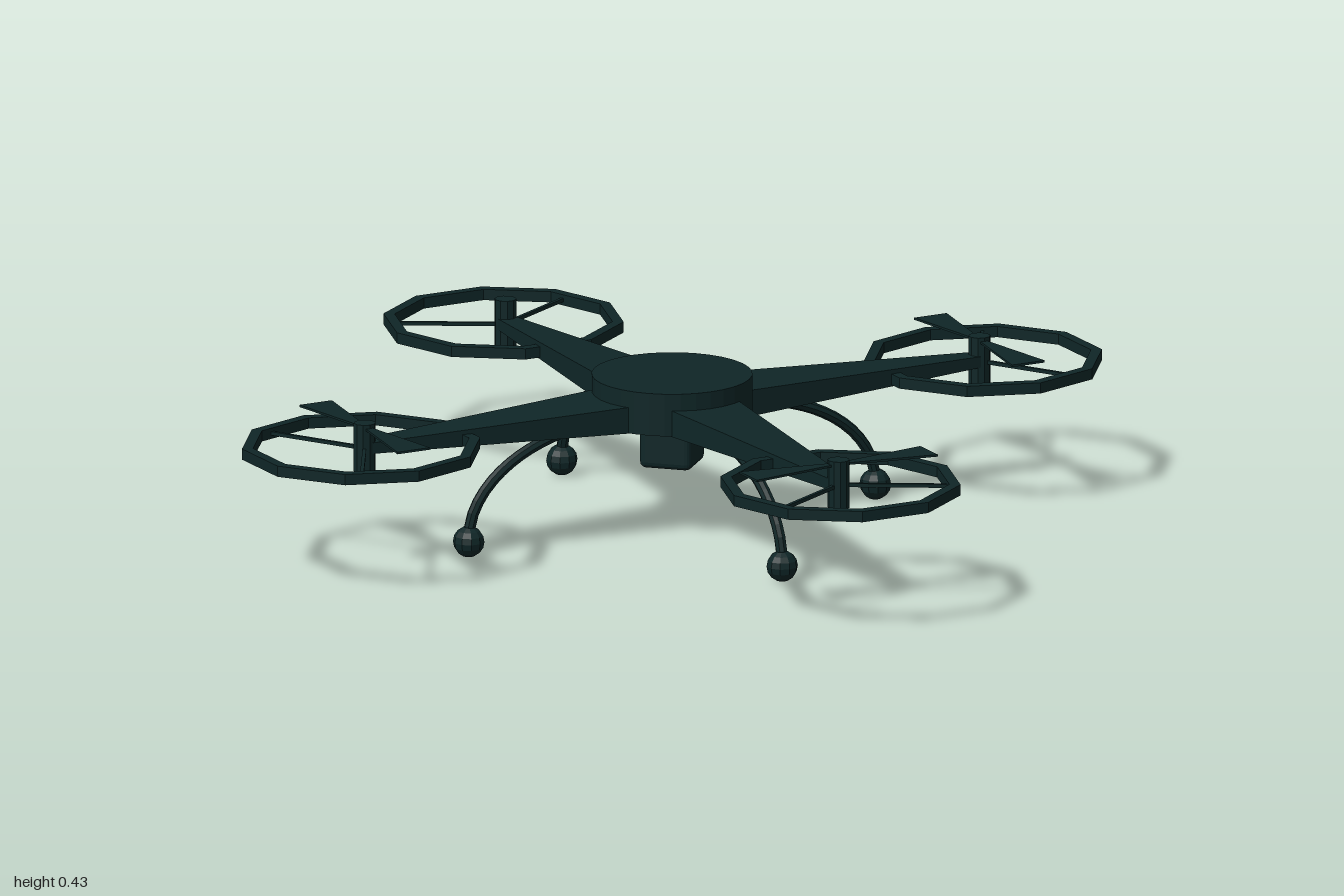
import * as THREE from 'three';
import { RoundedBoxGeometry } from 'three/addons/geometries/RoundedBoxGeometry.js';

const shell = new THREE.MeshStandardMaterial({ color: 0x0f2627, flatShading: true });
shell.name = 'dark teal shell';

const HUB = 0.945; // distance of each rotor from the centre

function part(name, geometry, parent, x = 0, y = 0, z = 0) {
  const mesh = new THREE.Mesh(geometry, shell);
  mesh.name = name;
  mesh.position.set(x, y, z);
  parent.add(mesh);
  return mesh;
}

// Beam along +x that tapers in width and height
function armGeometry(x0, x1) {
  const g = new THREE.BoxGeometry(1, 1, 1);
  const p = g.attributes.position;
  for (let i = 0; i < p.count; i++) {
    const tip = p.getX(i) > 0;
    p.setXYZ(i, tip ? x1 : x0, p.getY(i) * (tip ? 0.03 : 0.074), p.getZ(i) * (tip ? 0.052 : 0.212));
  }
  return g;
}

// Ten-sided guard with a square section
function guardGeometry() {
  const o = 0.3275, i = 0.297, h = 0.015;
  const profile = [[o, -h], [o, h], [i, h], [i, -h], [o, -h]].map(([x, y]) => new THREE.Vector2(x, y));
  return new THREE.LatheGeometry(profile, 10);
}

// Two wedge blades in one flat outline
function bladeGeometry() {
  const s = new THREE.Shape();
  s.moveTo(-0.006, 0);
  s.lineTo(-0.05, 0.278);
  s.lineTo(0.05, 0.278);
  s.lineTo(0.006, 0);
  s.lineTo(0.05, -0.278);
  s.lineTo(-0.05, -0.278);
  const g = new THREE.ExtrudeGeometry(s, { depth: 0.006, bevelEnabled: false });
  return g.rotateX(-Math.PI / 2);
}

function legGeometry() {
  const pts = [];
  for (let k = 0; k <= 8; k++) {
    const a = (k / 8) * Math.PI / 2;
    pts.push(new THREE.Vector3((0.14 + 0.302 * Math.sin(a)) * Math.SQRT2, 0.05 + 0.275 * Math.cos(a), 0));
  }
  return new THREE.TubeGeometry(new THREE.CatmullRomCurve3(pts), 16, 0.016, 8);
}

function quadrant(index) {
  const g = new THREE.Group();
  g.name = 'armAssembly' + (index + 1);
  g.rotation.y = Math.PI / 4 + index * Math.PI / 2;

  part('arm', armGeometry(0.17, HUB), g, 0, 0.35, 0);
  part('motor', new THREE.CylinderGeometry(0.03, 0.03, 0.134, 10), g, HUB, 0.35, 0);
  part('guardRing', guardGeometry(), g, 0.956, 0.346, 0);

  // Three spokes between motor and guard
  for (const angle of [60, 180, 300]) {
    const spoke = new THREE.BoxGeometry(0.29, 0.01, 0.01).translate(0.16, 0, 0);
    part('spoke', spoke, g, HUB, 0.346, 0).rotation.y = THREE.MathUtils.degToRad(angle);
  }

  // One rotor carries no blades
  if (index !== 1) part('propeller', bladeGeometry(), g, HUB, 0.401, 0);

  part('landingLeg', legGeometry(), g);
  part('foot', new THREE.SphereGeometry(0.043, 10, 8), g, 0.442 * Math.SQRT2, 0.043, 0);
  return g;
}

export function createModel() {
  const model = new THREE.Group();
  model.name = 'quadcopter';

  part('body', new THREE.CylinderGeometry(0.218, 0.218, 0.118, 32), model, 0, 0.374, 0);
  part('cameraPod', new RoundedBoxGeometry(0.146, 0.15, 0.146, 2, 0.018), model, 0, 0.255, 0);

  for (let i = 0; i < 4; i++) model.add(quadrant(i));
  return model;
}
